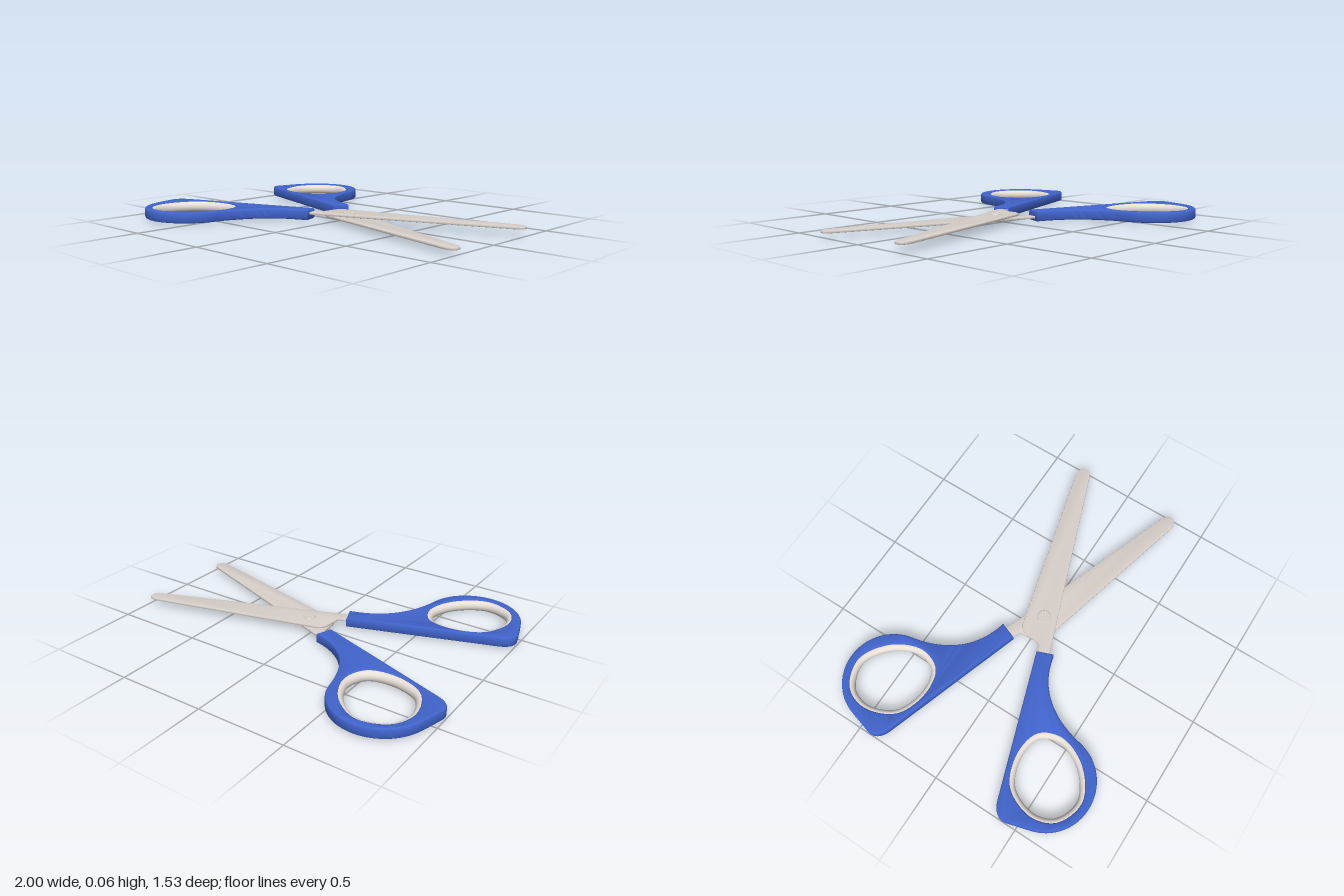
import * as THREE from 'three';
import { toCreasedNormals } from 'three/addons/utils/BufferGeometryUtils.js';

const BLUE = new THREE.MeshStandardMaterial({ color: 0x4164cc });
const STEEL = new THREE.MeshStandardMaterial({ color: 0xd8d0ca });
const CREAM = new THREE.MeshStandardMaterial({ color: 0xe8e0d8 });

// Finger opening, as x, z points on the +z side
const LOOP = [
  [-0.904, 0.535], [-0.834, 0.364], [-0.663, 0.3], [-0.52, 0.333],
  [-0.47, 0.455], [-0.54, 0.62], [-0.7, 0.72], [-0.855, 0.665],
];

function loopCurve(side) {
  const points = LOOP.map(([x, z]) => new THREE.Vector3(x, 0, z * side));
  return new THREE.CatmullRomCurve3(points, true);
}

// Extrude an x, z outline between two heights with rounded edges
function plate(shape, bottom, top, bevel, segments) {
  const geometry = new THREE.ExtrudeGeometry(shape, {
    depth: top - bottom - 2 * bevel,
    bevelThickness: bevel, bevelSize: bevel, bevelOffset: -bevel,
    bevelSegments: segments, curveSegments: 24,
  });
  geometry.rotateX(Math.PI / 2);
  geometry.translate(0, top - bevel, 0);
  return toCreasedNormals(geometry, 0.6);
}

function mirrored(shape, side) {
  return new THREE.Shape(shape.getPoints(24).map((p) => new THREE.Vector2(p.x, p.y * side)));
}

function handleShape(side) {
  const s = new THREE.Shape();
  s.moveTo(-0.134, 0.077);
  s.lineTo(-0.925, 0.345);
  s.bezierCurveTo(-0.975, 0.362, -1.008, 0.395, -0.998, 0.44);
  s.lineTo(-0.959, 0.577);
  s.absarc(-0.703, 0.5, 0.267, 2.85, 0.2, true);
  s.bezierCurveTo(-0.395, 0.3, -0.25, 0.2, -0.1, 0.167);
  const shape = mirrored(s, side);
  shape.holes.push(new THREE.Path(
    loopCurve(side).getPoints(64).slice(0, -1).map((p) => new THREE.Vector2(p.x, p.z))));
  return shape;
}

// Blade with a rounded tip, a stepped heel and a tang that enters the handle
function bladeShape(side) {
  const s = new THREE.Shape();
  s.moveTo(-0.3, 0.205);
  s.lineTo(-0.3, 0.15);
  s.lineTo(-0.087, 0.066);
  s.lineTo(-0.08, -0.02);
  s.quadraticCurveTo(-0.076, -0.07, -0.015, -0.083);
  s.lineTo(0.93, -0.326);
  s.bezierCurveTo(0.985, -0.336, 1.005, -0.315, 1, -0.28);
  s.quadraticCurveTo(0.99, -0.262, 0.95, -0.246);
  s.lineTo(-0.1, 0.142);
  return mirrored(s, side);
}

function add(group, name, geometry, material) {
  const mesh = new THREE.Mesh(geometry, material);
  mesh.name = name;
  group.add(mesh);
  return mesh;
}

export function createModel() {
  const scissors = new THREE.Group();
  scissors.name = 'scissors';

  // Each half pairs a handle on one side with a blade crossing to the other
  for (const side of [1, -1]) {
    const half = new THREE.Group();
    half.name = side > 0 ? 'upperHalf' : 'lowerHalf';
    add(half, 'handle', plate(handleShape(side), 0.007, 0.065, 0.01, 4), BLUE);

    const bottom = side > 0 ? 0.037 : 0.022;
    add(half, 'blade', plate(bladeShape(side), bottom, bottom + 0.013, 0.003, 2), STEEL);

    // Soft finger ring lining the opening
    const ring = new THREE.TubeGeometry(loopCurve(side), 96, 0.026, 20, true);
    ring.scale(1, 0.03 / 0.026, 1);
    ring.translate(0, 0.03, 0);
    add(half, 'fingerRing', ring, CREAM);
    scissors.add(half);
  }

  // Pivot rivet through both blades
  const profile = [[0, 0.019], [0.034, 0.019], [0.037, 0.022], [0.037, 0.052], [0.034, 0.055], [0, 0.055]]
    .map(([r, y]) => new THREE.Vector2(r, y));
  const rivet = toCreasedNormals(new THREE.LatheGeometry(profile, 32), 0.6);
  add(scissors, 'rivet', rivet, STEEL).position.x = 0.063;

  return scissors;
}
